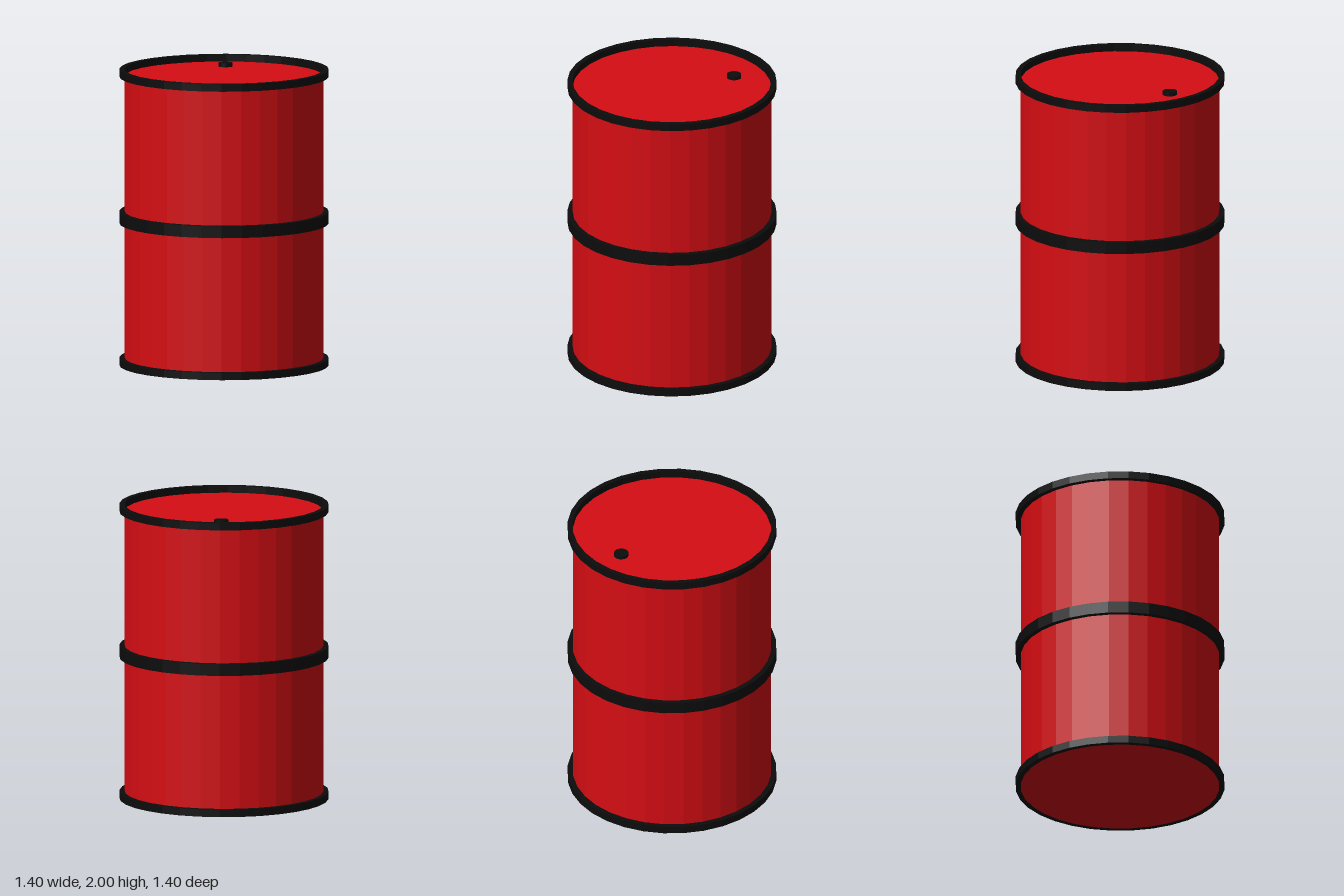
import * as THREE from 'three';

const SIDES = 32;
const BODY_RADIUS = 0.665;
const HOOP_RADIUS = 0.7;

const paint = (color) => new THREE.MeshStandardMaterial({ color, flatShading: true });

// Rectangular-section ring between two heights
function hoop(name, y0, y1, material) {
  const profile = [
    [BODY_RADIUS, y0], [HOOP_RADIUS, y0], [HOOP_RADIUS, y1], [BODY_RADIUS, y1], [BODY_RADIUS, y0],
  ].map(([r, y]) => new THREE.Vector2(r, y));
  const mesh = new THREE.Mesh(new THREE.LatheGeometry(profile, SIDES), material);
  mesh.name = name;
  return mesh;
}

export function createModel() {
  const model = new THREE.Group();
  model.name = 'barrel';
  const red = paint(0xd40d13);
  const black = paint(0x0c0c0c);

  // Drum body: flush at the base, lid recessed below the top rim
  const lidY = 1.953;
  const body = new THREE.Mesh(
    new THREE.CylinderGeometry(BODY_RADIUS, BODY_RADIUS, lidY, SIDES), red);
  body.name = 'body';
  body.position.y = lidY / 2;
  model.add(body);

  // Bottom rim, middle band and top rim
  model.add(
    hoop('bottomRim', 0, 0.05, black),
    hoop('middleBand', 0.96, 1.04, black),
    hoop('topRim', 1.95, 2, black),
  );

  // Filler cap near the back of the lid
  const cap = new THREE.Mesh(new THREE.CylinderGeometry(0.048, 0.048, 0.04, SIDES), black);
  cap.name = 'fillerCap';
  cap.position.set(0, 1.957, -0.445);
  model.add(cap);

  return model;
}
